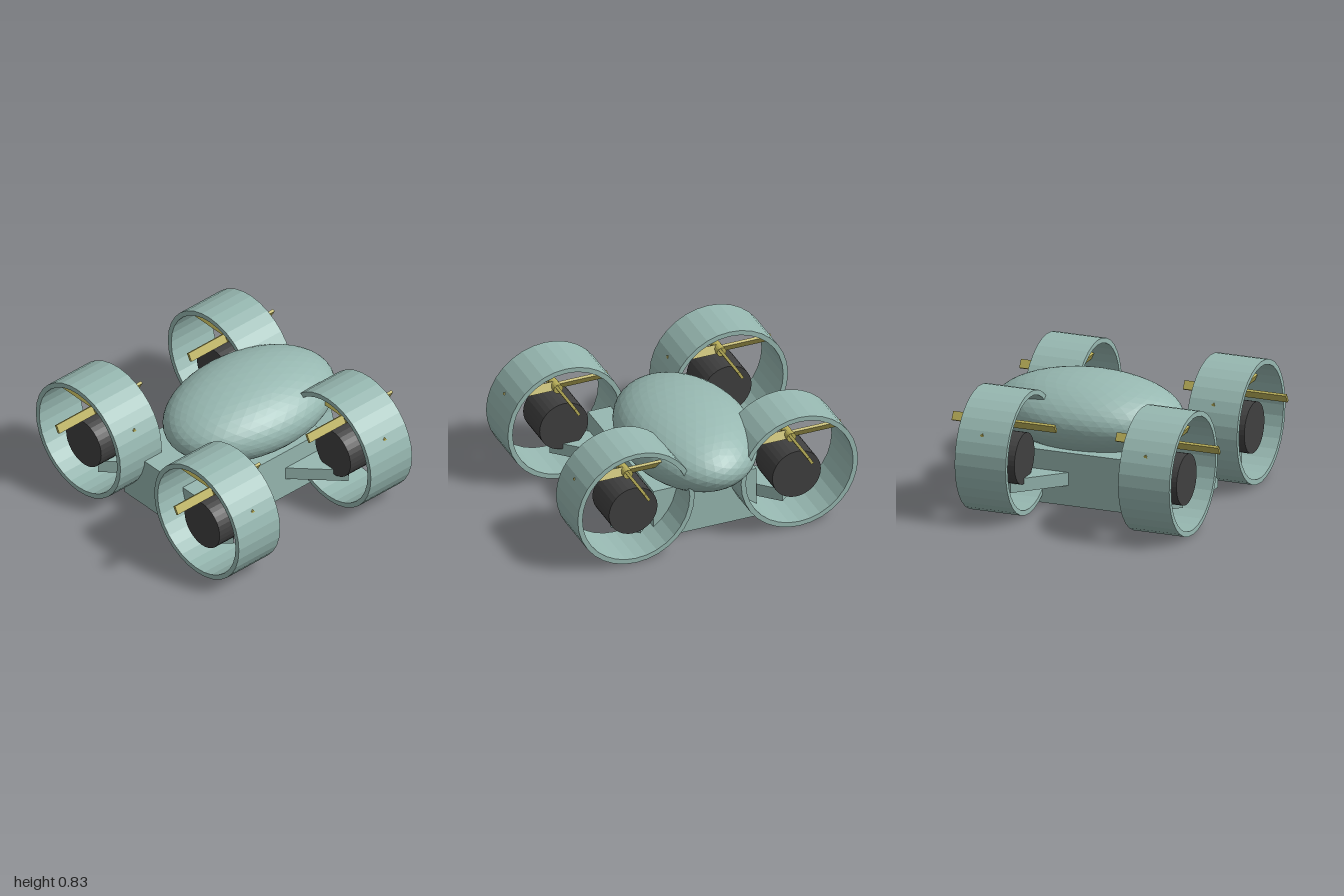
import * as THREE from 'three';

const paint = (color) => new THREE.MeshStandardMaterial({ color, flatShading: true });
const hullMat = paint(0x97b8b1);
const motorMat = paint(0x404040);
const bladeMat = paint(0xb8ae58);

function part(name, geometry, material, x = 0, y = 0, z = 0) {
  const mesh = new THREE.Mesh(geometry, material);
  mesh.name = name;
  mesh.position.set(x, y, z);
  return mesh;
}

// Open ring around each fan, axis along z
function ductGeometry(outer, inner, depth) {
  const shape = new THREE.Shape().absarc(0, 0, outer, 0, Math.PI * 2, false);
  shape.holes.push(new THREE.Path().absarc(0, 0, inner, 0, Math.PI * 2, true));
  return new THREE.ExtrudeGeometry(shape, { depth, bevelEnabled: false, curveSegments: 16 })
    .translate(0, 0, -depth / 2);
}

// Four pitched blades on a small hub
function createPropeller() {
  const propeller = new THREE.Group();
  propeller.name = 'propeller';
  const blade = new THREE.BoxGeometry(0.365, 0.06, 0.019)
    .rotateX(Math.PI / 6)
    .translate(0.1825, 0, 0);
  for (let i = 0; i < 4; i++) {
    const mesh = part('blade', blade, bladeMat);
    mesh.rotation.y = (i * Math.PI) / 2;
    propeller.add(mesh);
  }
  const hub = new THREE.CylinderGeometry(0.033, 0.033, 0.1, 16).rotateX(Math.PI / 2);
  propeller.add(part('hub', hub, bladeMat));
  return propeller;
}

export function createModel() {
  const model = new THREE.Group();
  model.name = 'quadRotorCraft';

  // Boxy lower body and egg-shaped canopy
  model.add(part('body', new THREE.BoxGeometry(0.734, 0.365, 1.09), hullMat, 0, 0.1925, 0));
  const canopy = new THREE.IcosahedronGeometry(1, 7).scale(0.437, 0.26, 0.653);
  model.add(part('canopy', canopy, hullMat, 0, 0.56, -0.22));

  const duct = ductGeometry(0.417, 0.383, 0.362);
  const motor = new THREE.CylinderGeometry(0.173, 0.173, 0.275, 32).rotateX(Math.PI / 2);
  const arm = new THREE.BoxGeometry(0.6, 0.09, 0.212).translate(-0.3, 0, 0);

  // One rotor unit at each corner
  for (const sx of [-1, 1]) {
    for (const sz of [-1, 1]) {
      const unit = new THREE.Group();
      unit.name = (sz > 0 ? 'front' : 'rear') + (sx > 0 ? 'Left' : 'Right') + 'Rotor';
      unit.position.set(sx * 0.583, 0, sz * 0.58);
      unit.add(part('duct', duct, hullMat, 0, 0.42, 0));
      unit.add(part('motor', motor, motorMat, 0, 0.375, -sz * 0.005));
      const strut = part('arm', arm, hullMat, 0, 0.195, 0);
      strut.rotation.y = Math.atan2(-sz, sx);
      unit.add(strut);
      const propeller = createPropeller();
      propeller.position.y = 0.607;
      unit.add(propeller);
      model.add(unit);
    }
  }
  return model;
}
